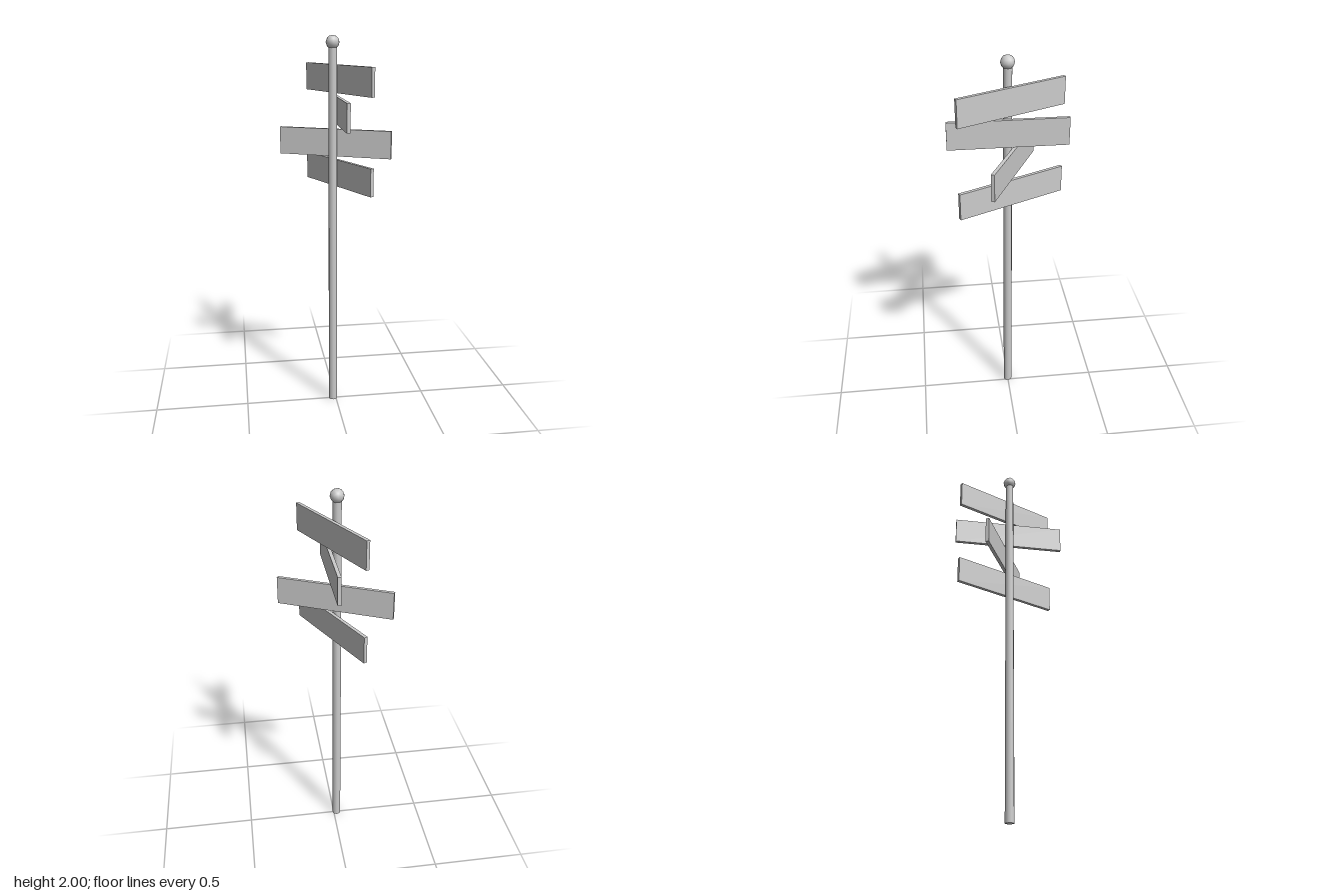
import * as THREE from 'three';

export function createModel() {
  const group = new THREE.Group();
  group.name = 'signpost';
  const material = new THREE.MeshStandardMaterial({ color: 0xcccccc });

  const add = (name, geometry, x, y, z, turn = 0) => {
    const mesh = new THREE.Mesh(geometry, material);
    mesh.name = name;
    mesh.position.set(x, y, z);
    mesh.rotation.y = turn;
    group.add(mesh);
  };

  // Slightly tapered pole with a faceted ball on top
  const poleX = -0.016;
  add('pole', new THREE.CylinderGeometry(0.022, 0.0235, 1.95, 10), poleX, 0.975, 0);
  add('finial', new THREE.IcosahedronGeometry(0.035, 1), poleX, 1.966, 0);

  // Sign boards fixed against the pole: x, y, z and heading
  const board = new THREE.BoxGeometry(0.018, 0.142, 0.604);
  const boards = [
    ['topBoard', 0.016, 1.785, -0.018, 0.434],
    ['upperBoard', 0.018, 1.623, 0, 0],
    ['lowerBoard', -0.001, 1.46, -0.03, 1.116],
    ['bottomBoard', 0.016, 1.3, -0.018, 0.434],
  ];
  for (const [name, x, y, z, turn] of boards) add(name, board, x, y, z, turn);

  return group;
}
